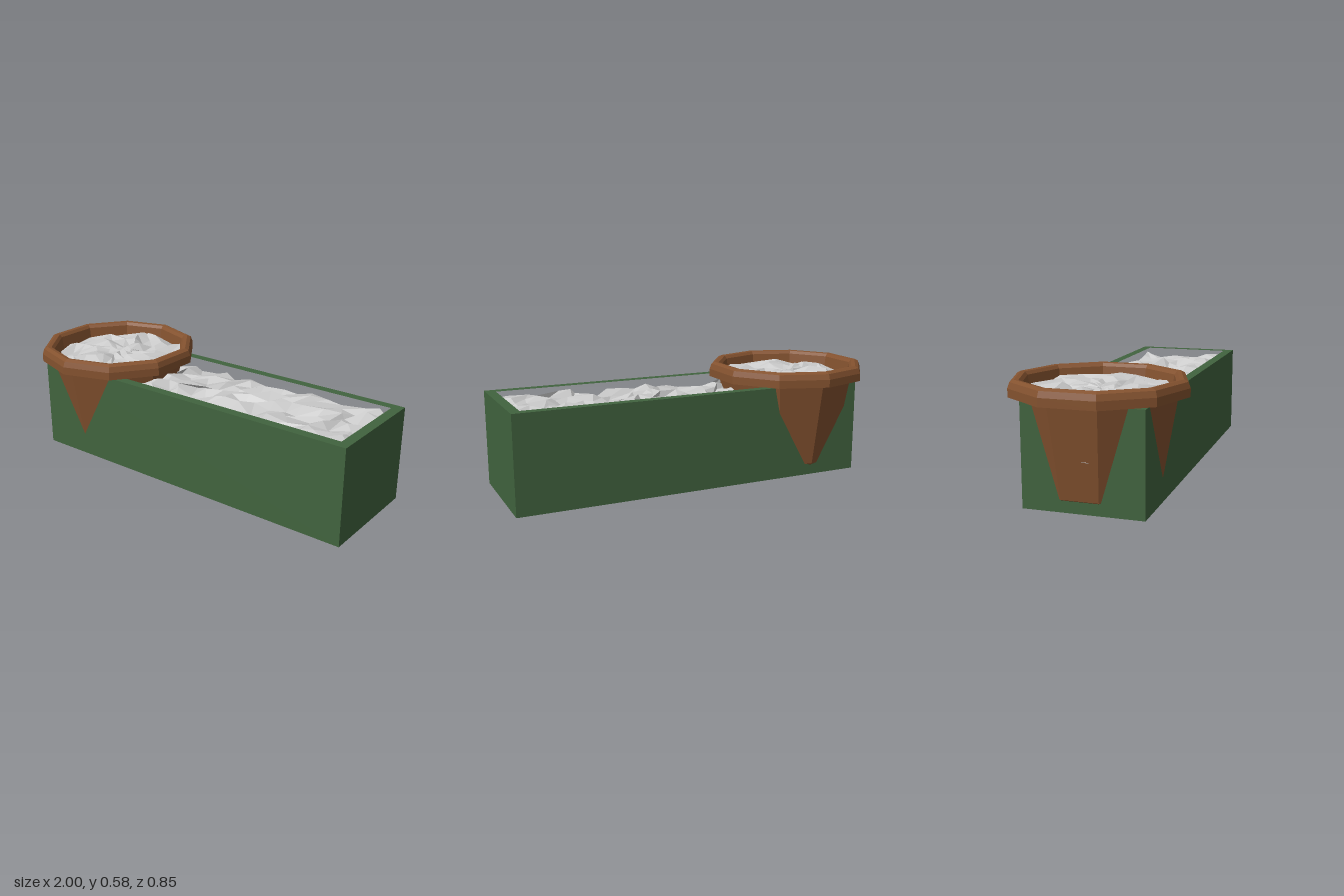
import * as THREE from 'three';

const green = new THREE.MeshStandardMaterial({ color: 0x41633e, flatShading: true });
const brown = new THREE.MeshStandardMaterial({ color: 0x84522f, flatShading: true });
const grey = new THREE.MeshStandardMaterial({ color: 0xcccccc, flatShading: true, side: THREE.DoubleSide });

// Repeatable noise in -1..1 from a position, so coincident vertices move together
function noise(x, y, z, seed) {
  const k = Math.round(x * 500) * 12.9898 + Math.round(y * 500) * 37.719 + Math.round(z * 500) * 78.233;
  const s = Math.sin(k + seed * 5.13) * 43758.5453;
  return (s - Math.floor(s)) * 2 - 1;
}

// Shake a geometry's vertices; amount(x, y, z) gives [dx, dy, dz] limits
function roughen(geometry, amount) {
  const p = geometry.attributes.position;
  for (let i = 0; i < p.count; i++) {
    const [x, y, z] = [p.getX(i), p.getY(i), p.getZ(i)];
    const a = amount(x, y, z);
    p.setXYZ(i, x + a[0] * noise(x, y, z, 1), y + a[1] * noise(x, y, z, 2), z + a[2] * noise(x, y, z, 3));
  }
  geometry.computeVertexNormals();
  return geometry;
}

function rectangle(target, x0, x1, z0, z1) {
  target.moveTo(x0, -z0);
  target.lineTo(x1, -z0);
  target.lineTo(x1, -z1);
  target.lineTo(x0, -z1);
  target.closePath();
  return target;
}

const lathe = (points, sides) =>
  new THREE.LatheGeometry(points.map(([r, y]) => new THREE.Vector2(r, y)), sides);

export function createModel() {
  const model = new THREE.Group();
  const add = (name, geometry, material, x = 0, y = 0, z = 0, parent = model) => {
    const mesh = new THREE.Mesh(geometry, material);
    mesh.name = name;
    mesh.position.set(x, y, z);
    parent.add(mesh);
    return mesh;
  };

  // Long planter box: four walls and a floor
  const planter = new THREE.Group();
  planter.name = 'planterBox';
  model.add(planter);
  const outline = rectangle(new THREE.Shape(), -0.87, 1, -0.278, 0.3);
  outline.holes.push(rectangle(new THREE.Path(), -0.82, 0.95, -0.23, 0.25));
  const walls = new THREE.ExtrudeGeometry(outline, { depth: 0.49, bevelEnabled: false });
  walls.rotateX(-Math.PI / 2);
  add('planterWalls', walls, green, 0, 0, 0, planter);
  add('planterFloor', new THREE.BoxGeometry(1.8, 0.04, 0.5), green, 0.065, 0.021, 0.01, planter);

  // Rough soil filling the box, pinned to the walls at its border
  const bed = new THREE.PlaneGeometry(1.77, 0.48, 24, 7);
  bed.rotateX(-Math.PI / 2);
  roughen(bed, (x, y, z) => [
    Math.abs(x) > 0.88 ? 0 : 0.034,
    0.028,
    Math.abs(z) > 0.235 ? 0 : 0.034,
  ]);
  add('planterSoil', bed, grey, 0.065, 0.445, 0.01, planter);

  // Ten-sided tapered pot with a bevelled rim, sunk into the box
  const pot = new THREE.Group();
  pot.name = 'pot';
  pot.position.x = -0.6;
  model.add(pot);
  add('potShell', lathe([
    [0, 0.05], [0.275, 0.05], [0.29, 0.06], [0.37, 0.5],
    [0.425, 0.5], [0.425, 0.54], [0.415, 0.568], [0.395, 0.578],
    [0.375, 0.575], [0.362, 0.56], [0.35, 0.48], [0.29, 0.15], [0, 0.15],
  ], 10), brown, 0, 0, 0, pot);

  // Rough soil in the pot
  const fill = lathe([
    [0.27, 0.4], [0.33, 0.515], [0.275, 0.52], [0.205, 0.525], [0.13, 0.525], [0.06, 0.525], [0, 0.525],
  ], 20);
  roughen(fill, (x, y, z) => {
    const r = Math.hypot(x, z);
    if (y < 0.45) return [0, 0, 0];
    const slide = Math.min(0.028, r * 0.2);
    return [slide, r < 0.1 ? 0.012 : 0.022, slide];
  });
  add('potSoil', fill, grey, 0, 0, 0, pot);

  // Clod of soil breaking through the pot's outer side
  const clod = add('soilClod', new THREE.IcosahedronGeometry(0.05, 0), grey, -0.277, 0.25, 0.04, pot);
  clod.scale.set(0.75, 1, 0.7);

  return model;
}
